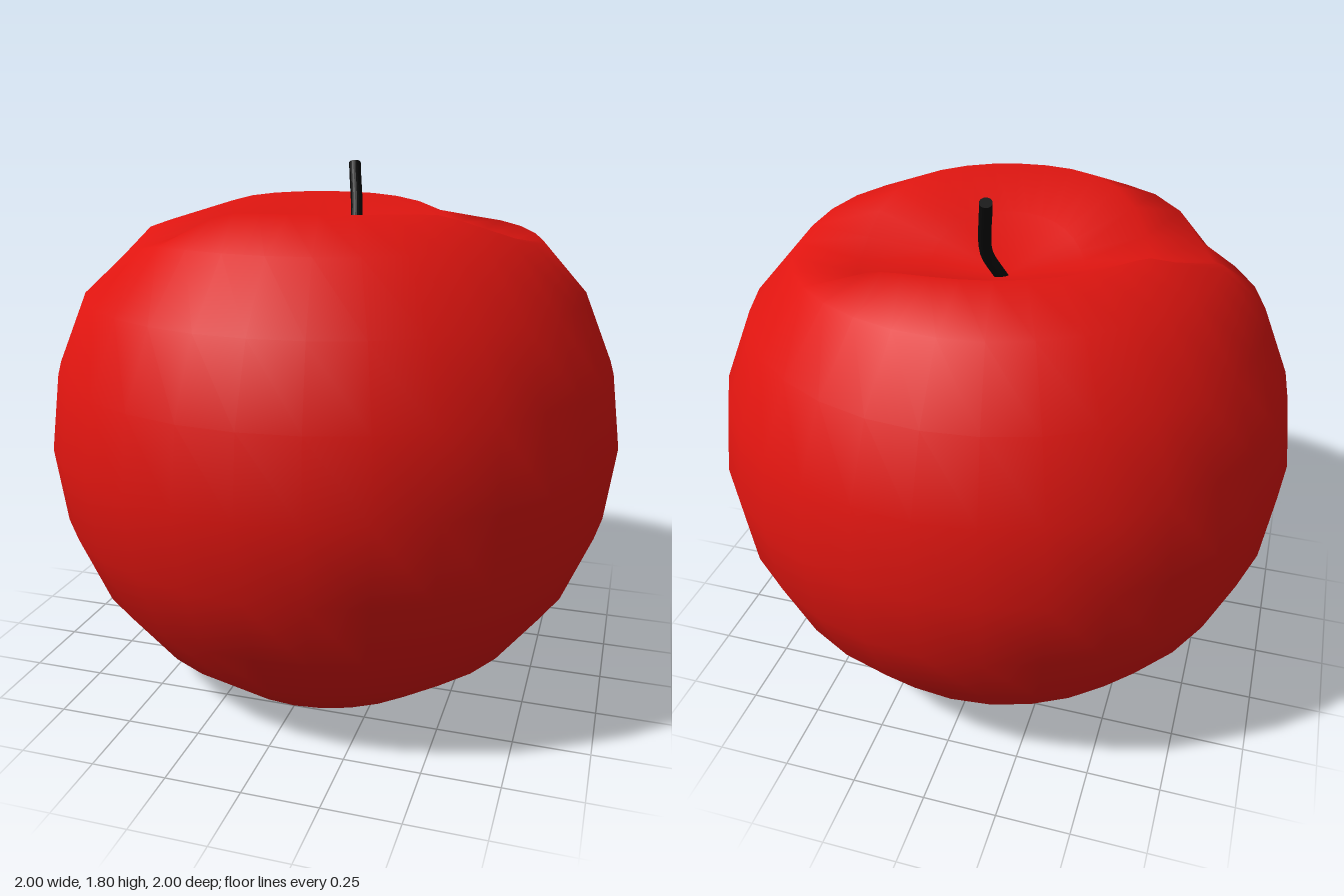
import * as THREE from 'three';
import { mergeVertices } from 'three/addons/utils/BufferGeometryUtils.js';

const SEGMENTS = 32, RINGS = 12, CENTRE = 0.87;

// Heights of the rings nearest the poles, from the pole outwards
const TOP = [1.46, 1.6, 1.675, 1.577];
const GROOVE = [0, 0.11, 0.19, 0.07];
const BOTTOM = [0.18, 0.09, 0.01];

function createFruit() {
  const geometry = new THREE.SphereGeometry(1, SEGMENTS, RINGS);
  const pos = geometry.attributes.position;
  for (let i = 0; i < pos.count; i++) {
    const ring = Math.floor(i / (SEGMENTS + 1));
    const fromBottom = RINGS - ring;
    const x = pos.getX(i), z = pos.getZ(i);
    let y = pos.getY(i) + CENTRE;
    if (ring < TOP.length) {
      // Stem hollow, with a curved groove running across the top
      const d = z - (-0.08 - 0.34 * x + 0.42 * x * x);
      let depth = GROOVE[ring];
      if (ring === 3) depth -= 0.06 * x;
      y = TOP[ring] - depth * Math.exp(-((d / 0.26) ** 2));
    } else if (fromBottom < BOTTOM.length) {
      // Shallow hollow underneath, its rim a little higher at the sides
      y = BOTTOM[fromBottom];
      if (fromBottom === 2) y += 0.08 * x * x - 0.01;
    }
    pos.setY(i, y);
  }
  // Weld the seam and poles so the skin shades smoothly
  geometry.deleteAttribute('uv');
  geometry.deleteAttribute('normal');
  const skin = mergeVertices(geometry, 1e-4);
  skin.computeVertexNormals();
  const mesh = new THREE.Mesh(skin, new THREE.MeshStandardMaterial({ color: 0xe01510 }));
  mesh.name = 'fruit';
  return mesh;
}

function createStem() {
  // Thin bent stalk leaning to the back
  const path = new THREE.CatmullRomCurve3([
    new THREE.Vector3(0, 1.44, -0.02),
    new THREE.Vector3(0.02, 1.5, -0.06),
    new THREE.Vector3(0.04, 1.58, -0.11),
    new THREE.Vector3(0.005, 1.79, -0.22),
  ]);
  const section = new THREE.Shape().absarc(0, 0, 0.021, 0, Math.PI * 2);
  const geometry = new THREE.ExtrudeGeometry(section, {
    steps: 12, curveSegments: 10, bevelEnabled: false, extrudePath: path,
  });
  const mesh = new THREE.Mesh(geometry, new THREE.MeshStandardMaterial({ color: 0x0a0a0a }));
  mesh.name = 'stem';
  return mesh;
}

export function createModel() {
  const group = new THREE.Group();
  group.name = 'apple';
  group.add(createFruit(), createStem());
  return group;
}
